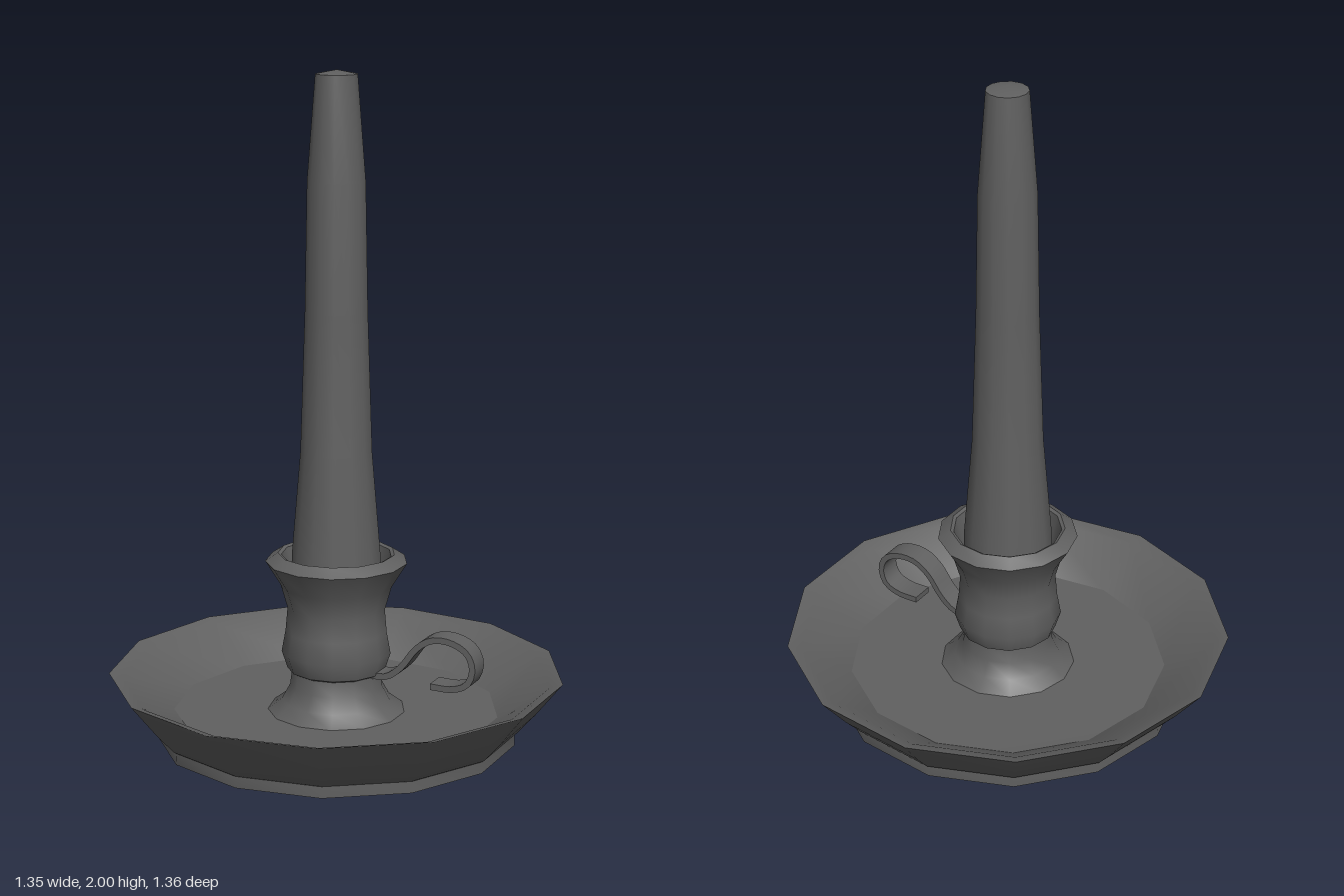
import * as THREE from 'three';
import { toCreasedNormals } from 'three/addons/utils/BufferGeometryUtils.js';

const SIDES = 13;
const PHASE = -0.14;
// Turning axis, set so that the 13-sided dish is centred on the origin
const AXIS = { x: 0.006, z: 0.003 };
const material = new THREE.MeshStandardMaterial({ color: 0x606060 });

function addMesh(group, name, geometry, crease) {
  const mesh = new THREE.Mesh(toCreasedNormals(geometry, crease), material);
  mesh.name = name;
  mesh.position.set(AXIS.x, 0, AXIS.z);
  group.add(mesh);
  return mesh;
}

// Turned part from [radius, height] pairs, bottom to top
function turned(profile) {
  const points = profile.map(([r, y]) => new THREE.Vector2(r, y));
  return new THREE.LatheGeometry(points, SIDES, PHASE);
}

// Flat strip of given thickness and width following a path in the XY plane
function strip(path, thickness, width, steps) {
  const curve = new THREE.CatmullRomCurve3(path.map(([x, y]) => new THREE.Vector3(x, y, 0)));
  const outer = [], inner = [];
  for (let i = 0; i <= steps; i++) {
    const p = curve.getPointAt(i / steps);
    const t = curve.getTangentAt(i / steps);
    const h = thickness / 2;
    outer.push(new THREE.Vector2(p.x - t.y * h, p.y + t.x * h));
    inner.unshift(new THREE.Vector2(p.x + t.y * h, p.y - t.x * h));
  }
  const shape = new THREE.Shape([...outer, ...inner]);
  const geometry = new THREE.ExtrudeGeometry(shape, { depth: width, bevelEnabled: false });
  return geometry.translate(0, 0, -width / 2);
}

export function createModel() {
  const model = new THREE.Group();
  model.name = 'candlestick';

  // Wide dish with a low foot, hollow on top
  addMesh(model, 'dish', turned([
    [0, 0], [0.542, 0], [0.542, 0.035], [0.55, 0.04], [0.604, 0.1], [0.684, 0.2],
    [0.645, 0.188], [0.49, 0.085], [0, 0.08],
  ]), 0.5);

  // Flared pedestal, cup and collar that hold the candle
  addMesh(model, 'socket', turned([
    [0.21, 0.08], [0.165, 0.115], [0.14, 0.16], [0.134, 0.205], [0.148, 0.212],
    [0.165, 0.265], [0.153, 0.33], [0.147, 0.4], [0.167, 0.47], [0.213, 0.545],
    [0.175, 0.57], [0.165, 0.565], [0.145, 0.48], [0.13, 0.4], [0, 0.4],
  ]), 0.7);

  // Tapered candle with a slightly domed tip
  addMesh(model, 'candle', turned([
    [0, 0.4], [0.138, 0.4], [0.133, 0.57], [0.107, 0.88], [0.093, 1.3],
    [0.086, 1.68], [0.062, 1.988], [0, 2],
  ]), 0.6);

  // Curled finger loop
  const handle = addMesh(model, 'handle', strip([
    [0.13, 0.212], [0.18, 0.216], [0.225, 0.25], [0.275, 0.315], [0.325, 0.346],
    [0.385, 0.346], [0.435, 0.32], [0.453, 0.275], [0.436, 0.225], [0.39, 0.205], [0.32, 0.204],
  ], 0.019, 0.07, 28), 0.6);
  handle.rotation.y = -0.015;

  return model;
}
